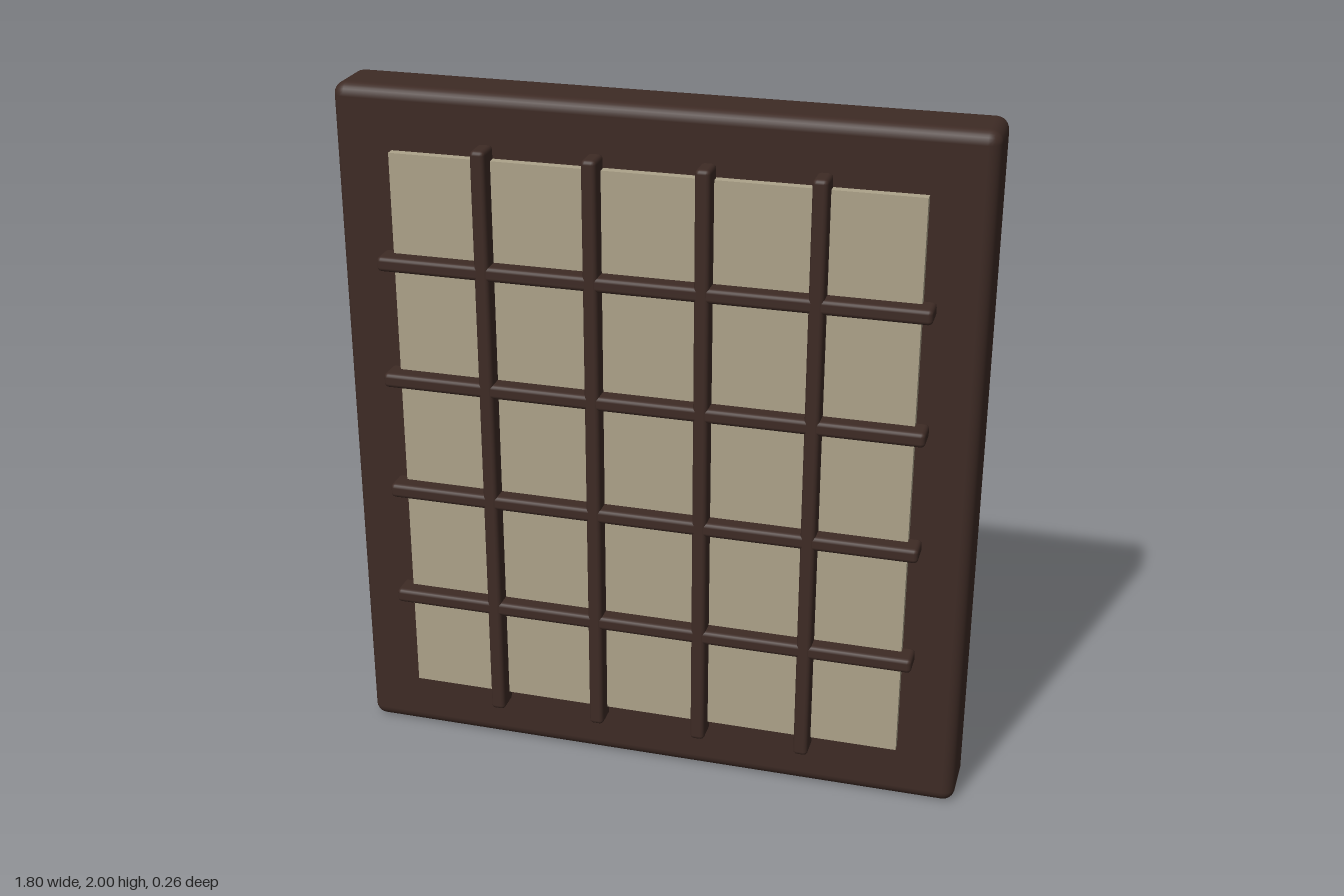
import * as THREE from 'three';
import { RoundedBoxGeometry } from 'three/addons/geometries/RoundedBoxGeometry.js';

export function createModel() {
  const model = new THREE.Group();
  model.name = 'latticeScreen';

  const wood = new THREE.MeshStandardMaterial({ color: 0x3e2b25 });
  const paper = new THREE.MeshStandardMaterial({ color: 0xada38a });

  function add(name, geometry, material, x, y, z) {
    const mesh = new THREE.Mesh(geometry, material);
    mesh.name = name;
    mesh.position.set(x, y, z);
    model.add(mesh);
  }

  // Solid backing slab with softened edges
  add('frame', new RoundedBoxGeometry(1.8, 2, 0.187, 3, 0.035), wood, 0, 1, -0.038);

  // Thin pale sheet just in front of the slab
  add('paperPanel', new THREE.BoxGeometry(1.46, 1.65, 0.025), paper, 0, 1.003, 0.0725);

  // Lattice of four upright and four level bars
  const upright = new RoundedBoxGeometry(0.042, 1.725, 0.077, 2, 0.012);
  const level = new RoundedBoxGeometry(1.53, 0.042, 0.077, 2, 0.012);
  for (let i = 0; i < 4; i++) {
    const step = i - 1.5;
    add('verticalBar' + (i + 1), upright, wood, step * 0.307, 1.003, 0.0935);
    add('horizontalBar' + (i + 1), level, wood, 0, 1.003 + step * 0.346, 0.0925);
  }

  return model;
}
